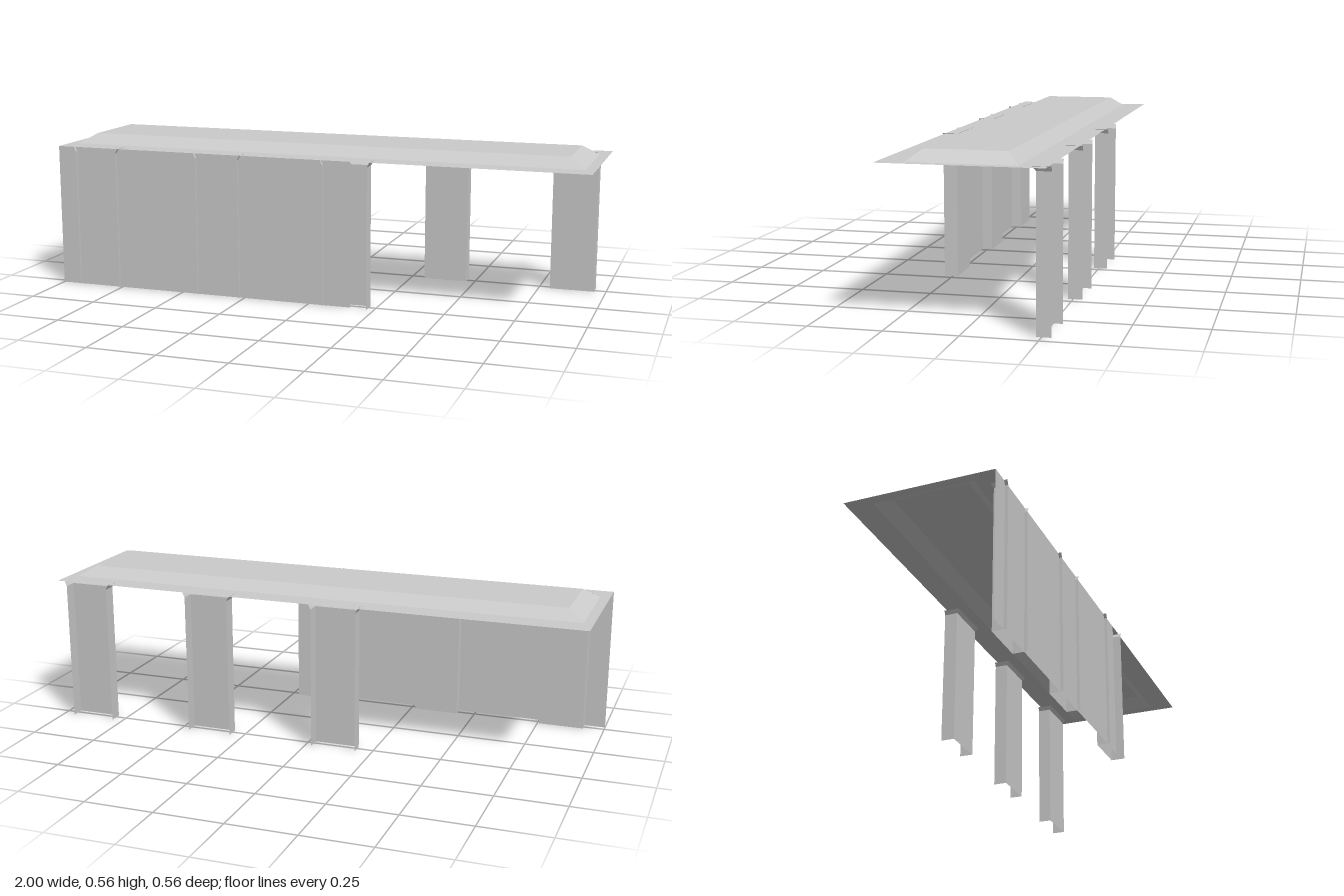
import * as THREE from 'three';

const material = new THREE.MeshStandardMaterial({ color: 0xcccccc, side: THREE.DoubleSide, flatShading: true });
const FLOOR = 0.006, CEILING = 0.535;

// Joins successive cross-sections (lists of [x, y, z]) with flat quads.
function loft(name, sections, closed) {
  const positions = [];
  for (let s = 0; s + 1 < sections.length; s++) {
    const lower = sections[s], upper = sections[s + 1];
    const count = closed ? lower.length : lower.length - 1;
    for (let i = 0; i < count; i++) {
      const j = (i + 1) % lower.length;
      positions.push(...lower[i], ...lower[j], ...upper[j], ...lower[i], ...upper[j], ...upper[i]);
    }
  }
  const geometry = new THREE.BufferGeometry();
  geometry.setAttribute('position', new THREE.Float32BufferAttribute(positions, 3));
  geometry.computeVertexNormals();
  const mesh = new THREE.Mesh(geometry, material);
  mesh.name = name;
  return mesh;
}

// Horizontal rectangle, counter-clockwise seen from above.
const ring = (x, y, z) => [[-x, y, z], [x, y, z], [x, y, -z], [-x, y, -z]];

// U-shaped outline, open towards the outside (+z).
const channel = (halfWidth, y, inner) => [
  [halfWidth, y, 0.282], [halfWidth, y, inner], [-halfWidth, y, inner], [-halfWidth, y, 0.282],
];

function createPillar(name, x, turn) {
  const pillar = new THREE.Group();
  pillar.name = name;
  const base = channel(0.083, FLOOR, 0.232);
  const neck = channel(0.083, 0.52, 0.232);
  const top = channel(0.091, CEILING + 0.001, 0.222);
  pillar.add(loft('pillarShaft', [base, neck]), loft('pillarCapital', [neck, top]));
  pillar.position.x = x;
  pillar.rotation.y = turn;
  return pillar;
}

export function createModel() {
  const model = new THREE.Group();
  model.name = 'colonnade';

  // Ceiling: flat border, sloping cove and raised centre panel
  const cove = ring(0.964, CEILING, 0.181);
  const panel = ring(0.907, 0.571, 0.137);
  model.add(loft('ceilingBorder', [ring(1, CEILING, 0.271), cove], true));
  model.add(loft('ceilingCove', [cove, panel], true));
  model.add(loft('ceilingPanel', [[panel[0], panel[1]], [panel[3], panel[2]]]));

  // Wall closing part of the front side
  model.add(loft('frontWall', [
    [[-1, FLOOR, 0.271], [0.16, FLOOR, 0.271]],
    [[-1, CEILING, 0.271], [0.16, CEILING, 0.271]],
  ]));

  // Three channel pillars along each long side
  for (let i = 0; i < 3; i++) {
    model.add(createPillar('frontPillar', -0.84 + i * 0.49, 0));
    model.add(createPillar('backPillar', -0.106 + i * 0.49, Math.PI));
  }
  return model;
}
